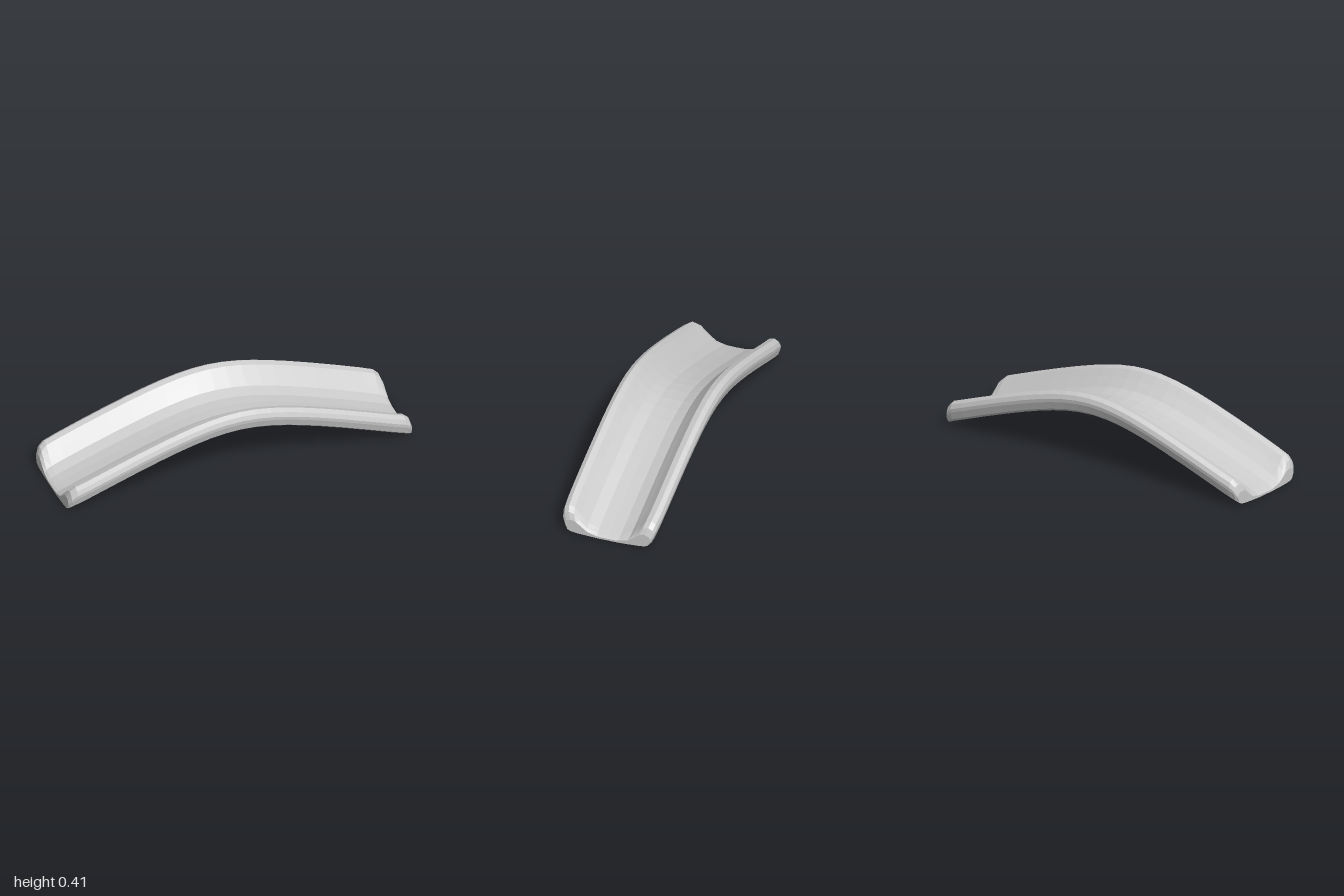
import * as THREE from 'three';

// half of the channel's cross-section [z, height], underside centre -> rim -> floor centre
const HALF = [
  [0, 0], [0.066, 0], [0.13, 0.004], [0.2, 0.01], [0.243, 0.018], [0.262, 0.033], [0.275, 0.075],
  [0.277, 0.095], [0.268, 0.12], [0.243, 0.135], [0.21, 0.126], [0.175, 0.087], [0.129, 0.04],
  [0.066, 0.019], [0, 0.017],
];

// stations along half the length: [x, height scale, width scale]; the ends are rounded
const STATIONS = [
  [0, 1, 1], [0.09, 1, 1], [0.18, 1, 1], [0.27, 1, 1], [0.36, 1, 1], [0.47, 1, 1], [0.6, 1, 1],
  [0.75, 1, 1], [0.88, 1, 0.995], [0.955, 1, 0.978], [0.985, 0.88, 0.95], [1, 0.63, 0.89],
];

// height of the arched underside
function arch(x) {
  const c = 0.35, a = 0.28 / (Math.hypot(1, c) - c);
  return 0.28 - a * (Math.hypot(x, c) - c);
}

function createChannel() {
  const mirrored = HALF.slice(1, -1).reverse().map(([z, y]) => [-z, y]);
  const profile = [...HALF, ...mirrored];
  const rows = [
    ...STATIONS.slice(1).reverse().map(([x, h, w]) => [-x, h, w]),
    ...STATIONS,
  ];
  const n = profile.length;
  const positions = [];
  const index = [];
  for (const [x, h, w] of rows) {
    for (const [z, y] of profile) positions.push(x, arch(x) + y * h, z * w);
  }
  // skin between neighbouring stations
  for (let i = 0; i < rows.length - 1; i++) {
    for (let j = 0; j < n; j++) {
      const a = i * n + j, b = i * n + (j + 1) % n;
      index.push(a, a + n, b, b, a + n, b + n);
    }
  }
  // end caps
  const outline = profile.map(([z, y]) => new THREE.Vector2(z, y));
  const last = (rows.length - 1) * n;
  for (const [a, b, c] of THREE.ShapeUtils.triangulateShape(outline, [])) {
    index.push(a, b, c, last + a, last + c, last + b);
  }
  const geometry = new THREE.BufferGeometry();
  geometry.setAttribute('position', new THREE.Float32BufferAttribute(positions, 3));
  geometry.setIndex(index);
  geometry.computeVertexNormals();
  return geometry;
}

export function createModel() {
  const group = new THREE.Group();
  group.name = 'archedChannel';
  const material = new THREE.MeshStandardMaterial({
    color: 0xcccccc, flatShading: true, side: THREE.DoubleSide,
  });
  const channel = new THREE.Mesh(createChannel(), material);
  channel.name = 'channel';
  group.add(channel);
  return group;
}
